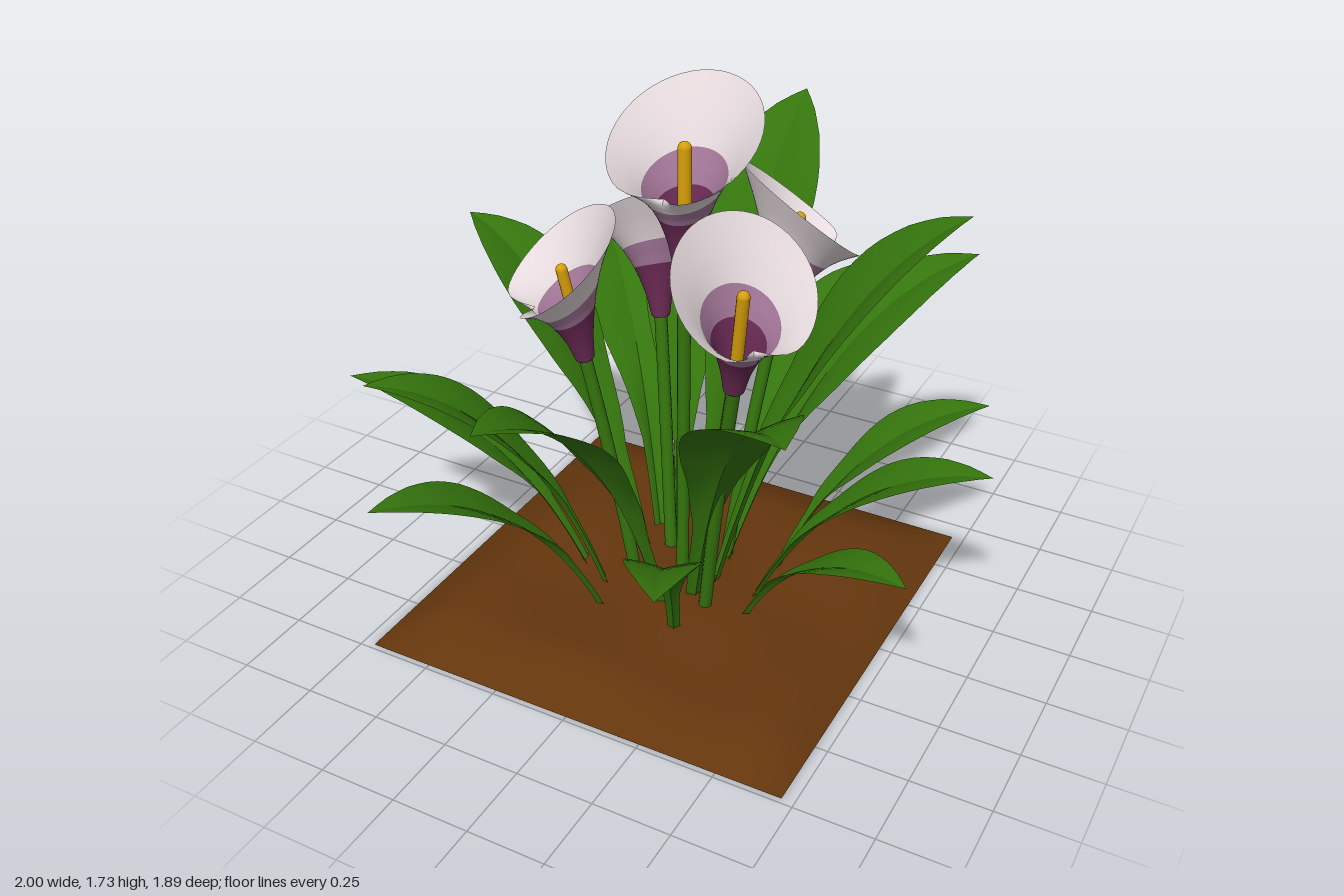
import * as THREE from 'three';

const mat = (name, color, side = THREE.FrontSide) => {
  const m = new THREE.MeshStandardMaterial({ color, side });
  m.name = name;
  return m;
};

// Piecewise-linear lookup in [[t, value], ...]
function lookup(points, t) {
  for (let i = 1; i < points.length; i++) {
    const [a, va] = points[i - 1], [b, vb] = points[i];
    if (t <= b) return THREE.MathUtils.lerp(va, vb, (t - a) / (b - a));
  }
  return points[points.length - 1][1];
}

// Surface over a grid of u, v in 0..1
function sheet(fn, nu, nv) {
  const pos = [], idx = [];
  for (let i = 0; i <= nu; i++)
    for (let j = 0; j <= nv; j++) pos.push(...fn(i / nu, j / nv).toArray());
  for (let i = 0; i < nu; i++)
    for (let j = 0; j < nv; j++) {
      const a = i * (nv + 1) + j, b = a + nv + 1;
      idx.push(a, b, a + 1, b, b + 1, a + 1);
    }
  const g = new THREE.BufferGeometry();
  g.setAttribute('position', new THREE.Float32BufferAttribute(pos, 3));
  g.setIndex(idx);
  g.computeVertexNormals();
  return g;
}

function add(parent, name, geometry, material) {
  const m = new THREE.Mesh(geometry, material);
  m.name = name;
  parent.add(m);
  return m;
}

const LEAF_WIDTH = [[0, 0.16], [0.2, 0.22], [0.35, 0.5], [0.47, 0.8], [0.56, 0.95], [0.64, 1],
  [0.73, 0.92], [0.83, 0.68], [0.92, 0.36], [1, 0]];
const SPATHE_RADIUS = [[0, 0.035], [0.2, 0.05], [0.4, 0.075], [0.55, 0.1], [0.7, 0.132],
  [0.82, 0.165], [0.92, 0.198], [1, 0.226]];

// Leaves: tip x, y, z, and a root x, z where the leaf does not point straight outward
const LEAVES = [
  { tip: [0, 1.45, -0.89] }, { tip: [0.28, 0.86, -0.95] }, { tip: [0.68, 1.05, -0.76] },
  { tip: [0.85, 0.69, -0.46] }, { tip: [0.775, 1.37, -0.345], root: [0.14, 0.01] },
  { tip: [0.995, 0.7, -0.06], root: [0.28, 0.02] }, { tip: [0.9, 0.55, 0.36] },
  { tip: [0.68, 1.15, 0.73] }, { tip: [0.41, 0.71, 0.92] },
  { tip: [-0.12, 1.07, 0.94], root: [0.03, 0.2] }, { tip: [-0.49, 0.71, 0.945] },
  { tip: [-0.72, 0.9, 0.64] }, { tip: [-1, 0.72, 0.37] }, { tip: [-0.91, 1.08, -0.21] },
  { tip: [-0.75, 0.9, -0.79] }, { tip: [-0.46, 0.89, -0.9] },
];

// Flowers: base of the cup, the way it opens (x, z), lean and scale
const FLOWERS = [
  { base: [0.025, 1.2, 0.025], open: [0, 1], lean: 0, scale: 1 },
  { base: [0.325, 1.0, 0.295], open: [1, 1], lean: 0.2, scale: 0.89 },
  { base: [-0.25, 0.88, 0.155], open: [-1, 1], lean: 0.2, scale: 0.85 },
  { base: [0.195, 0.93, -0.265], open: [1, -1], lean: 0.2, scale: 0.92 },
  { base: [-0.18, 0.88, -0.2], open: [-1, -1], lean: 0.2, scale: 0.85 },
];

// Arching leaf, creased along the midrib
function makeLeaf({ tip, root }, material) {
  const leaf = new THREE.Group();
  leaf.name = 'leaf';
  const end = new THREE.Vector3(...tip);
  const tall = end.y > 1;
  const spread = tall ? 0.17 : end.y > 0.8 ? 0.26 : 0.32;
  const start = root
    ? new THREE.Vector3(root[0], 0.05, root[1])
    : new THREE.Vector3(end.x, 0, end.z).setLength(spread).setY(0.05);
  const out = end.clone().sub(start).setY(0).normalize();
  const bend = start.clone().lerp(end, 0.36);
  bend.y = start.y + (end.y - start.y) * (end.y > 1.3 ? 0.83 : 0.92);
  const curve = new THREE.QuadraticBezierCurve3(start, bend, end);
  const half = 0.113 * curve.getLength();
  const side = new THREE.Vector3(out.z, 0, -out.x);
  for (const s of [-1, 1]) {
    add(leaf, s < 0 ? 'leafRightHalf' : 'leafLeftHalf', sheet((u, v) => {
      const w = half * lookup(LEAF_WIDTH, u) * v;
      const up = new THREE.Vector3().crossVectors(curve.getTangent(u), side).normalize();
      if (up.y < 0) up.negate();
      const fold = THREE.MathUtils.lerp(0.8, 0.26, THREE.MathUtils.smoothstep(u, 0.2, 0.45));
      return curve.getPoint(u).addScaledVector(side, s * w)
        .addScaledVector(up, w * fold * (1.3 - 0.5 * v));
    }, 24, 4), material);
  }
  return leaf;
}

// Point on the flared cup: s runs up from the base, a runs round from the front cleft
function spathePoint(s, a) {
  const phi = a * Math.PI * 2;
  const fromCleft = Math.min(phi, Math.PI * 2 - phi);
  const cleft = Math.exp(-((fromCleft / 0.3) ** 2)) * s ** 4;
  const r = lookup(SPATHE_RADIUS, s) * (1 - 0.46 * cleft);
  const height = 0.405 - 0.125 * Math.cos(phi) * s;
  return new THREE.Vector3(r * Math.sin(phi), s * height - 0.02 * cleft, r * Math.cos(phi));
}

function makeFlower({ base, open, lean, scale }, m) {
  const flower = new THREE.Group();
  flower.name = 'flower';
  const cup = new THREE.Group();
  cup.name = 'bloom';
  cup.position.set(...base);
  cup.rotation.set(lean, Math.atan2(open[0], open[1]), 0, 'YXZ');
  cup.scale.setScalar(scale);
  const bands = [['throat', 0, 0.48, m.purple], ['blushBand', 0.48, 0.67, m.mauve], ['spathe', 0.67, 1, m.white]];
  for (const [name, a, b, material] of bands)
    add(cup, name, sheet((u, v) => spathePoint(a + (b - a) * u, v), 8, 48), material);
  add(cup, 'throatBase', new THREE.CylinderGeometry(0.035, 0.03, 0.012, 20), m.purple);
  add(cup, 'spadix', new THREE.CapsuleGeometry(0.021, 0.27, 6, 14), m.yellow).position.y = 0.235;
  flower.add(cup);

  // Stem rising into the cup
  const top = new THREE.Vector3(...base);
  const foot = new THREE.Vector3(top.x * 0.5, 0.04, top.z * 0.5);
  const mid = new THREE.Vector3(top.x * 0.72, top.y * 0.55, top.z * 0.72);
  const path = new THREE.QuadraticBezierCurve3(foot, mid, top);
  add(flower, 'stem', new THREE.TubeGeometry(path, 16, 0.021, 10), m.stem);
  return flower;
}

// Square patch of soil, sloping to the ground at its edges
function makeSoil(material) {
  const soil = new THREE.Group();
  soil.name = 'soil';
  const w = 1.42, d = 1.41;
  const g = new THREE.PlaneGeometry(w, d, 48, 48).rotateX(-Math.PI / 2);
  const p = g.attributes.position;
  for (let i = 0; i < p.count; i++) {
    const x = p.getX(i), z = p.getZ(i);
    const ex = Math.min(1, (w / 2 - Math.abs(x)) / 0.22), ez = Math.min(1, (d / 2 - Math.abs(z)) / 0.22);
    const rise = Math.sin(ex * Math.PI / 2) * Math.sin(ez * Math.PI / 2);
    const bumps = 0.008 * Math.sin(x * 9 + z * 4) + 0.006 * Math.sin(z * 11 - x * 5 + 1);
    p.setY(i, Math.max(0, rise * (0.074 + bumps)));
  }
  g.computeVertexNormals();
  add(soil, 'soilTop', g, material);
  add(soil, 'soilUnderside', new THREE.PlaneGeometry(w, d).rotateX(Math.PI / 2), material);
  soil.position.z = 0.028;
  return soil;
}

export function createModel() {
  const m = {
    leaf: mat('leafGreen', 0x35750d, THREE.DoubleSide),
    stem: mat('stemGreen', 0x35750d),
    white: mat('petalWhite', 0xe9dde0, THREE.DoubleSide),
    mauve: mat('petalMauve', 0xa5789a, THREE.DoubleSide),
    purple: mat('petalPurple', 0x6b2a55, THREE.DoubleSide),
    yellow: mat('spadixYellow', 0xd9a00a),
    soil: mat('soilBrown', 0x64360d),
  };
  const model = new THREE.Group();
  model.name = 'lilyPlant';
  model.add(makeSoil(m.soil));
  for (const l of LEAVES) model.add(makeLeaf(l, m.leaf));
  for (const f of FLOWERS) model.add(makeFlower(f, m));
  return model;
}
